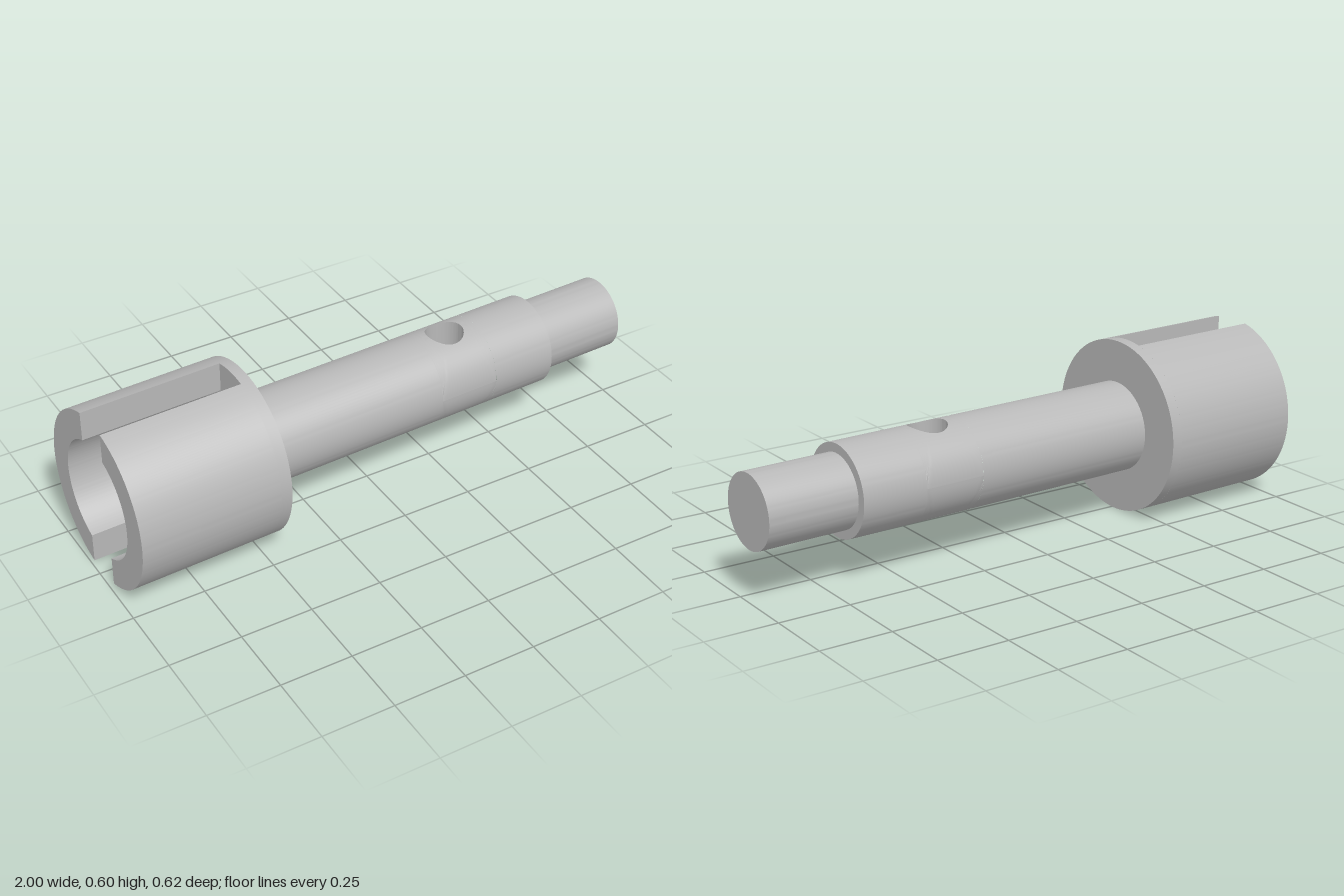
import * as THREE from 'three';
import { toCreasedNormals } from 'three/addons/utils/BufferGeometryUtils.js';

const CUP_R = 0.302, BORE_R = 0.202, SLOT = 0.068;
const SHAFT_R = 0.157, TIP_R = 0.126, HOLE_R = 0.066;
// stations along the axis
const CUP_END = -0.99, FLOOR = -0.497, SHOULDER = -0.458, STEP = 0.676, TIP_END = 0.994;
const HOLE_X = 0.33, HOLE_W = 0.11;

// surface from a rule; faces point along d/da x d/db
function grid(na, nb, point) {
  const pos = [], index = [];
  for (let i = 0; i <= na; i++)
    for (let j = 0; j <= nb; j++) pos.push(...point(i / na, j / nb));
  for (let i = 0; i < na; i++)
    for (let j = 0; j < nb; j++) {
      const p = i * (nb + 1) + j, q = p + nb + 1;
      index.push(p, q, q + 1, p, q + 1, p + 1);
    }
  const g = new THREE.BufferGeometry();
  g.setAttribute('position', new THREE.Float32BufferAttribute(pos, 3));
  g.setIndex(index);
  return g;
}

// cylinder along x between two stations
function rod(radius, x0, x1) {
  return new THREE.CylinderGeometry(radius, radius, x1 - x0, 96)
    .rotateZ(-Math.PI / 2).translate((x0 + x1) / 2, 0, 0);
}

// one jaw of the slotted cup: half a ring, cut flat beside the slot
function jaw() {
  const a = Math.acos(SLOT / CUP_R), b = Math.acos(SLOT / BORE_R);
  const s = new THREE.Shape();
  s.absarc(0, 0, CUP_R, -a, a, false);
  s.absarc(0, 0, BORE_R, b, -b, true);
  s.closePath();
  return new THREE.ExtrudeGeometry(s, { depth: FLOOR - CUP_END, bevelEnabled: false, curveSegments: 48 })
    .rotateY(Math.PI / 2).translate(CUP_END, 0, 0);
}

// upper half of the shaft skin around the cross hole
function drilledSkin() {
  return grid(16, 96, (s, k) => {
    const t = k * Math.PI * 2, c = Math.cos(t), n = Math.sin(t);
    const m = Math.max(Math.abs(c), Math.abs(n));
    const angle = THREE.MathUtils.lerp(Math.asin(HOLE_R * c / SHAFT_R), c / m * Math.PI / 2, s);
    const x = THREE.MathUtils.lerp(HOLE_R * n, HOLE_W * n / m, s);
    return [HOLE_X + x, SHAFT_R * Math.cos(angle), SHAFT_R * Math.sin(angle)];
  });
}

// inside wall of the cross hole
function holeWall() {
  return grid(1, 96, (s, k) => {
    const t = k * Math.PI * 2, z = HOLE_R * Math.cos(t);
    return [HOLE_X + HOLE_R * Math.sin(t), (2 * s - 1) * Math.sqrt(SHAFT_R ** 2 - z * z), z];
  });
}

export function createModel() {
  const steel = new THREE.MeshStandardMaterial({ color: 0xb8b8b8 });
  steel.name = 'steelGrey';
  const model = new THREE.Group();
  model.name = 'slottedShaft';

  const add = (name, geometry) => {
    const mesh = new THREE.Mesh(toCreasedNormals(geometry, 0.6), steel);
    mesh.name = name;
    model.add(mesh);
  };

  // slotted cup
  add('frontJaw', jaw().rotateX(Math.PI));
  add('backJaw', jaw());
  model.children[0].geometry.computeBoundingBox();
  model.children[1].rotation.x = Math.PI;
  model.children[0].rotation.x = Math.PI;
  add('cupFloor', rod(CUP_R, FLOOR, SHOULDER));

  // shaft with cross hole; the open ends meet the drilled section
  const openRod = (x0, x1) => new THREE.CylinderGeometry(SHAFT_R, SHAFT_R, x1 - x0, 96, 1, true)
    .rotateZ(-Math.PI / 2).translate((x0 + x1) / 2, 0, 0);
  add('shaftInner', openRod(SHOULDER, HOLE_X - HOLE_W));
  add('drilledTop', drilledSkin());
  add('drilledBottom', drilledSkin().rotateX(Math.PI));
  add('crossHole', holeWall());
  add('shaftOuter', openRod(HOLE_X + HOLE_W, STEP));
  add('shaftStep', new THREE.CircleGeometry(SHAFT_R, 96).rotateY(Math.PI / 2).translate(STEP, 0, 0));

  // reduced end
  add('tip', rod(TIP_R, STEP, TIP_END));

  // the whole axis is turned slightly about y
  model.rotation.y = 0.039;
  model.position.set(0.0015, CUP_R, -0.031);
  return model;
}
